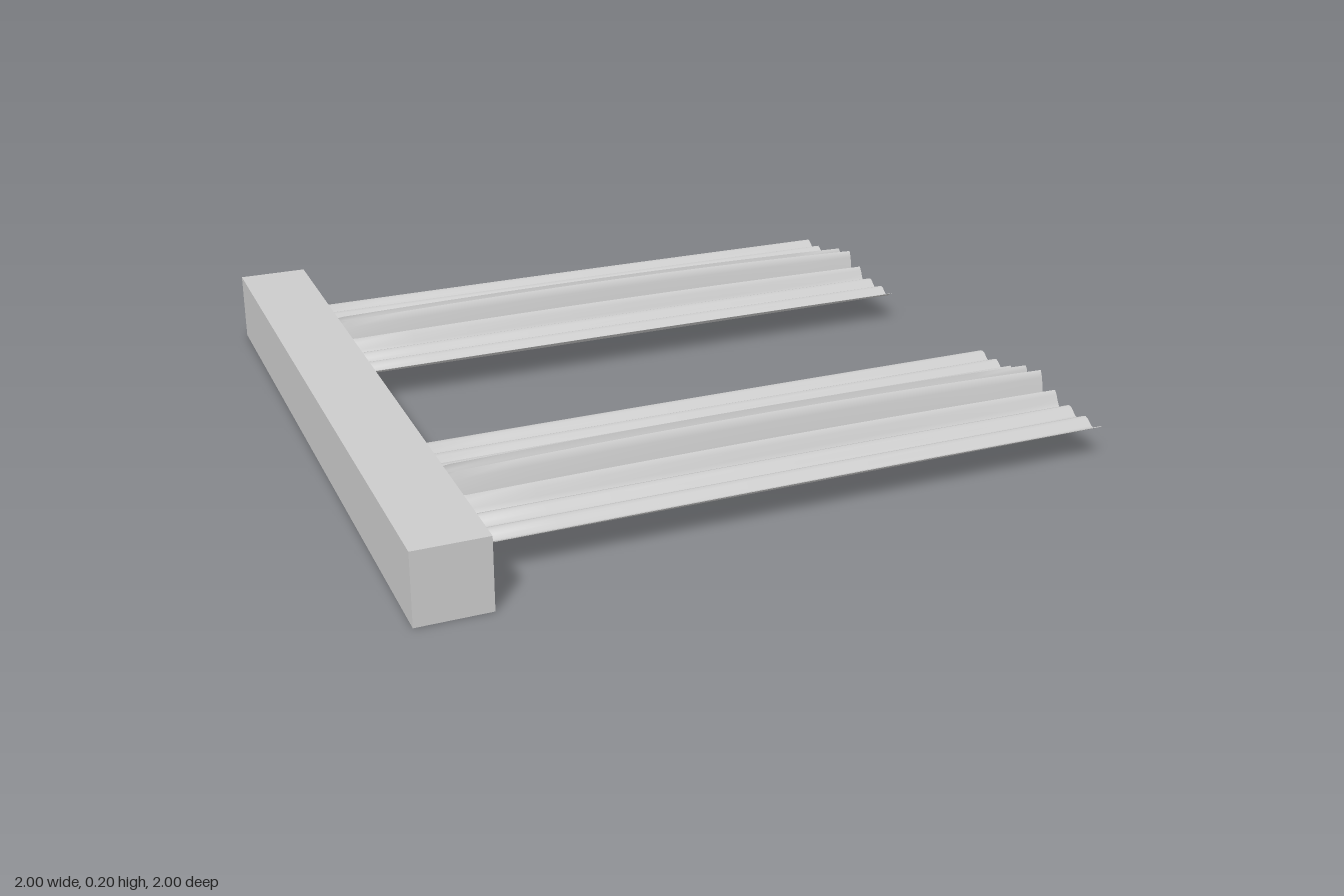
import * as THREE from 'three';

const HALF = 0.322, PERIOD = 0.0757, MID_Y = 0.093;

// Height of the corrugation: tall ribs in the middle, fading to the side edges and slightly to the ends
function ribHeight(x, d) {
  const across = 0.15 + 0.85 * Math.exp(-((d / 0.095) ** 2));
  const along = 1 - 0.2 * ((x - 0.1) / 0.9) ** 2;
  return 0.08 * across * along * Math.sin((d / PERIOD) * Math.PI * 2);
}

// Thin corrugated sheet, pinched where it enters the bar
function corrugatedPanel(zCentre, material) {
  const xs = [-0.8, -0.75];
  for (let i = 1; i <= 10; i++) xs.push(-0.75 + i * 0.175);
  const nz = 68;
  const geometry = new THREE.PlaneGeometry(1, 1, xs.length - 1, nz).rotateX(-Math.PI / 2);
  const pos = geometry.attributes.position;
  for (let i = 0; i < pos.count; i++) {
    const column = i % xs.length;
    const row = Math.floor(i / xs.length);
    const x = xs[column];
    const d = (row / nz * 2 - 1) * HALF;
    const pinch = column === 0 ? 0.82 : 1;
    pos.setXYZ(i, x, MID_Y + ribHeight(x, d), zCentre + d * pinch);
  }
  geometry.computeVertexNormals();
  const panel = new THREE.Mesh(geometry, material);
  panel.name = 'corrugatedPanel';
  return panel;
}

export function createModel() {
  const model = new THREE.Group();
  model.name = 'barWithCorrugatedPanels';

  // Square support bar
  const bar = new THREE.Mesh(
    new THREE.BoxGeometry(0.2, 0.2, 2),
    new THREE.MeshStandardMaterial({ color: 0xcccccc })
  );
  bar.position.set(-0.9, 0.1, 0);
  bar.name = 'supportBar';
  model.add(bar);

  // Two ribbed panels
  const sheet = new THREE.MeshStandardMaterial({ color: 0xcccccc, side: THREE.DoubleSide });
  for (const z of [-0.618, 0.533]) model.add(corrugatedPanel(z, sheet));
  return model;
}
